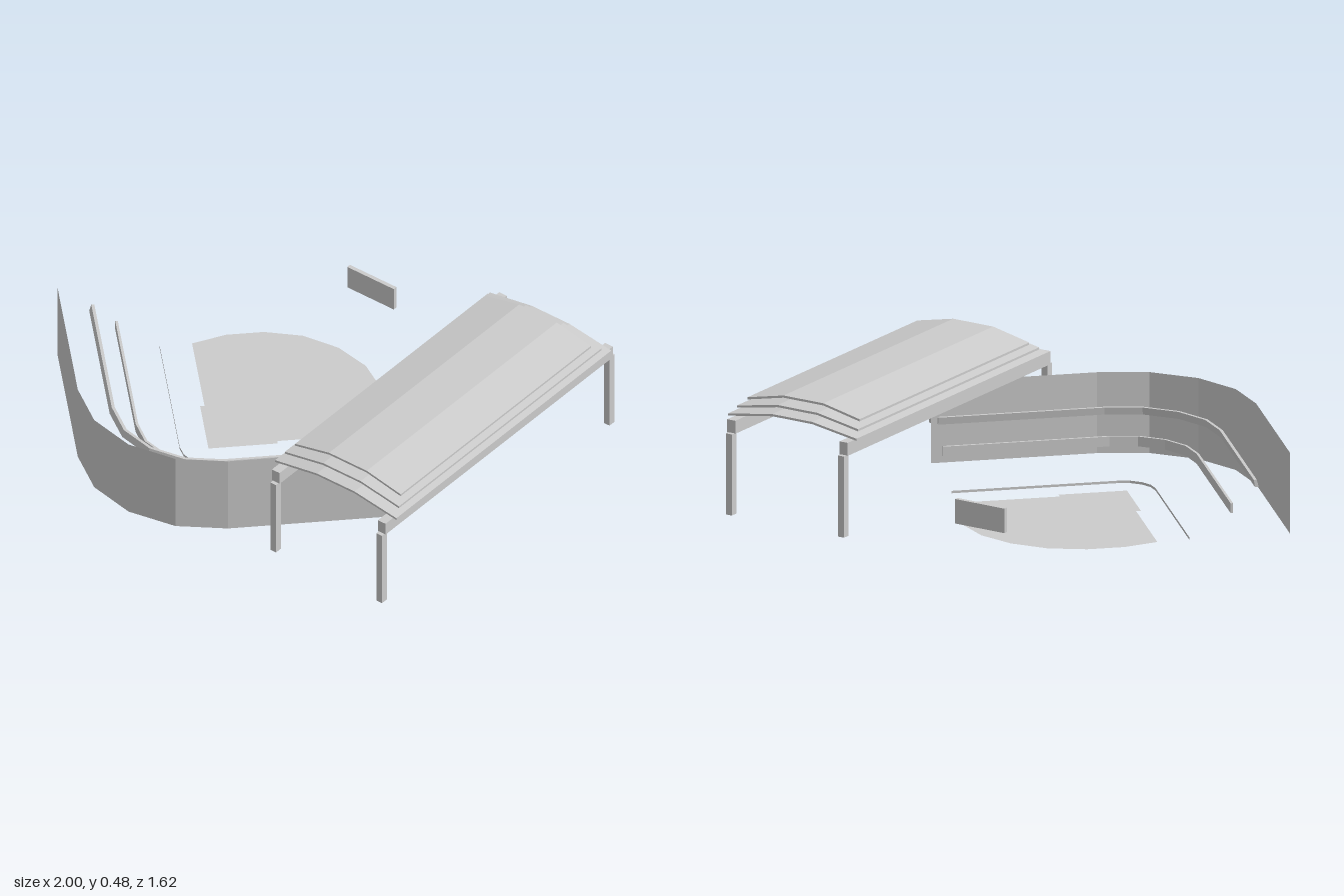
import * as THREE from 'three';

const CX = -0.165, CZ = 0.285; // centre of the curved stand

// Sweeps a cross-section of [radius, y] points round a quarter arc with straight arms.
function sweep(profile, closed) {
  const arm = 0.66, stations = [];
  const steps = [-45, -45, -22.5, 0, 22.5, 45, 45];
  steps.forEach((deg, i) => {
    const a = THREE.MathUtils.degToRad(deg);
    const s = Math.sin(a), c = Math.cos(a);
    const ext = i === 0 ? -arm : i === steps.length - 1 ? arm : 0;
    stations.push(profile.map(([r, y]) => [CX + r * s + ext * c, y, CZ + r * c - ext * s]));
  });
  const pos = [];
  const tri = (...p) => p.forEach((v) => pos.push(...v));
  const n = profile.length;
  for (let i = 0; i < stations.length - 1; i++) {
    const A = stations[i], B = stations[i + 1];
    for (let j = 0; j < (closed ? n : n - 1); j++) {
      const k = (j + 1) % n;
      tri(A[j], B[j], B[k]);
      tri(A[j], B[k], A[k]);
    }
  }
  if (closed) {
    const A = stations[0], B = stations[stations.length - 1];
    for (let j = 1; j < n - 1; j++) {
      tri(A[0], A[j], A[j + 1]);
      tri(B[0], B[j + 1], B[j]);
    }
  }
  const g = new THREE.BufferGeometry();
  g.setAttribute('position', new THREE.Float32BufferAttribute(pos, 3));
  g.computeVertexNormals();
  return g;
}

// Flat ground sheet from [x, z] points, facing up.
function sheet(points, y) {
  const shape = new THREE.Shape(points.map(([x, z]) => new THREE.Vector2(x, -z)));
  return new THREE.ShapeGeometry(shape).rotateX(-Math.PI / 2).translate(0, y, 0);
}

export function createModel() {
  const model = new THREE.Group();
  model.name = 'ballpark';
  const grey = new THREE.MeshStandardMaterial({ color: 0xcccccc, side: THREE.DoubleSide });
  grey.name = 'light grey';

  const add = (name, geometry, parent = model) => {
    const mesh = new THREE.Mesh(geometry, grey);
    mesh.name = name;
    parent.add(mesh);
    return mesh;
  };
  const box = (name, x0, x1, y0, y1, z0, z1, parent) =>
    add(name, new THREE.BoxGeometry(x1 - x0, y1 - y0, z1 - z0), parent)
      .position.set((x0 + x1) / 2, (y0 + y1) / 2, (z0 + z1) / 2);

  // Curved stand: outer wall, two ledges and a low front kerb
  add('outerWall', sweep([[0.525, 0], [0.525, 0.33]], false));
  add('upperLedge', sweep([[0.385, 0.2], [0.4, 0.2], [0.396, 0.215], [0.392, 0.23], [0.38, 0.23]], true));
  add('lowerLedge', sweep([[0.288, 0.1], [0.298, 0.1], [0.298, 0.14], [0.288, 0.14]], true));
  add('frontKerb', sweep([[0.125, 0], [0.125, 0.01]], false));

  // Playing field: fan-shaped outfield with a square infield on its corner
  const half = [[0.465, -0.185], [0.395, -0.31], [0.29, -0.415], [0.155, -0.49]];
  const outfield = [
    [CX, 0.28],
    ...half.map(([x, z]) => [CX + x, z]),
    [CX, -0.515],
    ...half.map(([x, z]) => [CX - x, z]).reverse(),
  ];
  add('outfield', sheet(outfield, 0.001));
  add('infield', sheet([[CX, 0.305], [CX + 0.192, 0.113], [CX, -0.079], [CX - 0.192, 0.113]], 0.003));

  // Scoreboard behind the field
  box('scoreboard', -0.28, -0.05, 0.12, 0.22, -0.735, -0.718);

  // Side canopy: stepped arched roof on beams and posts
  const canopy = new THREE.Group();
  canopy.name = 'canopy';
  model.add(canopy);
  const layers = [
    { half: 0.3, y: 0.385, rise: 0.033, z0: -0.755, z1: 0.602 },
    { half: 0.282, y: 0.411, rise: 0.034, z0: -0.717, z1: 0.563 },
    { half: 0.261, y: 0.437, rise: 0.036, z0: -0.675, z1: 0.525 },
  ];
  const thick = 0.009, crown = 0.093, mid = 0.697;
  layers.forEach(({ half: w, y, rise, z0, z1 }, i) => {
    const arch = [[-w, 0], [-crown, rise], [crown, rise], [w, 0]];
    const outline = [
      ...arch.map(([x, h]) => new THREE.Vector2(mid + x, y + h)),
      ...arch.map(([x, h]) => new THREE.Vector2(mid + x, y + h + thick)).reverse(),
    ];
    const g = new THREE.ExtrudeGeometry(new THREE.Shape(outline), { depth: z1 - z0, bevelEnabled: false });
    add('roofLayer' + (i + 1), g.translate(0, 0, z0), canopy);
  });
  for (const x of [0.434, 0.958]) {
    box('beam', x - 0.019, x + 0.019, 0.33, 0.383, -0.79, 0.645, canopy);
    for (const z of [-0.792, 0.645]) {
      box('post', x - 0.014, x + 0.014, 0, 0.331, z - 0.016, z + 0.016, canopy);
    }
  }
  return model;
}
